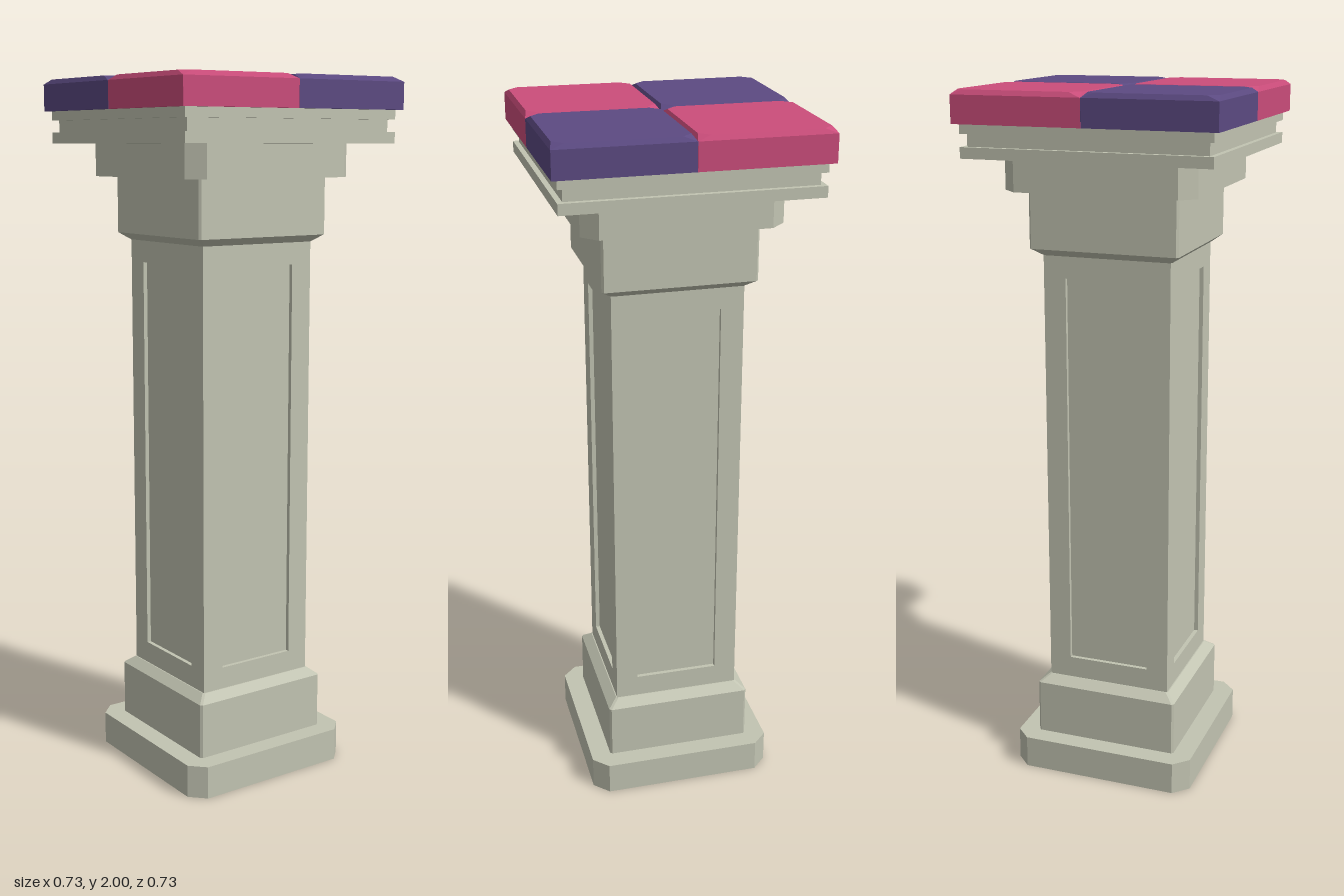
import * as THREE from 'three';

const material = (name, color) => {
  const m = new THREE.MeshStandardMaterial({ color, flatShading: true });
  m.name = name;
  return m;
};

// Square outline with clipped corners
function ring([half, clip, y]) {
  const k = half - clip;
  return [[half, -k], [half, k], [k, half], [-k, half], [-half, k], [-half, -k], [-k, -half], [k, -half]]
    .map(([x, z]) => new THREE.Vector3(x, y, z));
}

// Closed solid through stacked outlines, each [half width, corner clip, height]
function loft(sections) {
  const rings = sections.map(ring);
  const pts = [];
  for (let r = 0; r < rings.length - 1; r++) {
    const lo = rings[r], hi = rings[r + 1];
    for (let i = 0; i < 8; i++) {
      const j = (i + 1) % 8;
      pts.push(lo[i], hi[i], lo[j], lo[j], hi[i], hi[j]);
    }
  }
  const bottom = rings[0], top = rings[rings.length - 1];
  for (let i = 1; i < 7; i++) {
    pts.push(bottom[0], bottom[i], bottom[i + 1]);
    pts.push(top[0], top[i + 1], top[i]);
  }
  const g = new THREE.BufferGeometry().setFromPoints(pts);
  g.computeVertexNormals();
  return g;
}

export function createModel() {
  const stone = material('stone', 0xc2c4b2);
  const pink = material('pink', 0xcb4d7b);
  const purple = material('purple', 0x5c4a82);
  const model = new THREE.Group();
  model.name = 'pedestal';

  const add = (name, geometry, mat, parent = model) => {
    const mesh = new THREE.Mesh(geometry, mat);
    mesh.name = name;
    parent.add(mesh);
    return mesh;
  };

  // Base and capital blocks
  add('foot', loft([[0.272, 0.042, 0], [0.272, 0.042, 0.095]]), stone);
  add('plinth', loft([[0.214, 0.006, 0.095], [0.214, 0.006, 0.255], [0.187, 0.006, 0.277]]), stone);
  add('neckBlock', loft([[0.187, 0.006, 1.55], [0.214, 0.006, 1.57], [0.214, 0.006, 1.73]]), stone);
  add('capital', loft([[0.272, 0.042, 1.73], [0.272, 0.042, 1.822]]), stone);

  // Stepped cornice
  for (const [half, y0, y1] of [[0.347, 1.822, 1.852], [0.332, 1.852, 1.886], [0.347, 1.886, 1.912]]) {
    add('cornice', new THREE.BoxGeometry(half * 2, y1 - y0, half * 2).translate(0, (y0 + y1) / 2, 0), stone);
  }

  // Shaft with a recessed panel on each side
  const half = 0.184, depth = 0.012, y0 = 0.27, y1 = 1.555;
  const core = (half - depth) * 2;
  add('shaftCore', new THREE.BoxGeometry(core, y1 - y0, core).translate(0, (y0 + y1) / 2, 0), stone);
  const rect = (C, xa, xb, ya, yb) => new C([[xa, ya], [xb, ya], [xb, yb], [xa, yb]].map(p => new THREE.Vector2(...p)));
  const frame = rect(THREE.Shape, -half, half - depth, y0, y1);
  frame.holes.push(rect(THREE.Path, -0.12, 0.12, 0.34, 1.488));
  const frameGeometry = new THREE.ExtrudeGeometry(frame, { depth, bevelEnabled: false }).translate(0, 0, half - depth);
  for (let i = 0; i < 4; i++) add('panelFrame', frameGeometry, stone).rotation.y = i * Math.PI / 2;

  // Checkered top tiles with bevelled upper edges
  const tiles = new THREE.Group();
  tiles.name = 'topTiles';
  model.add(tiles);
  const h = 0.1815;
  const tileGeometry = loft([[h, 0.0005, 1.912], [h, 0.0005, 1.987], [h - 0.008, 0.027, 2]]);
  for (const x of [-1, 1]) {
    for (const z of [-1, 1]) {
      add('tile', tileGeometry, x === z ? purple : pink, tiles).position.set(x * h, 0, z * h);
    }
  }
  return model;
}
